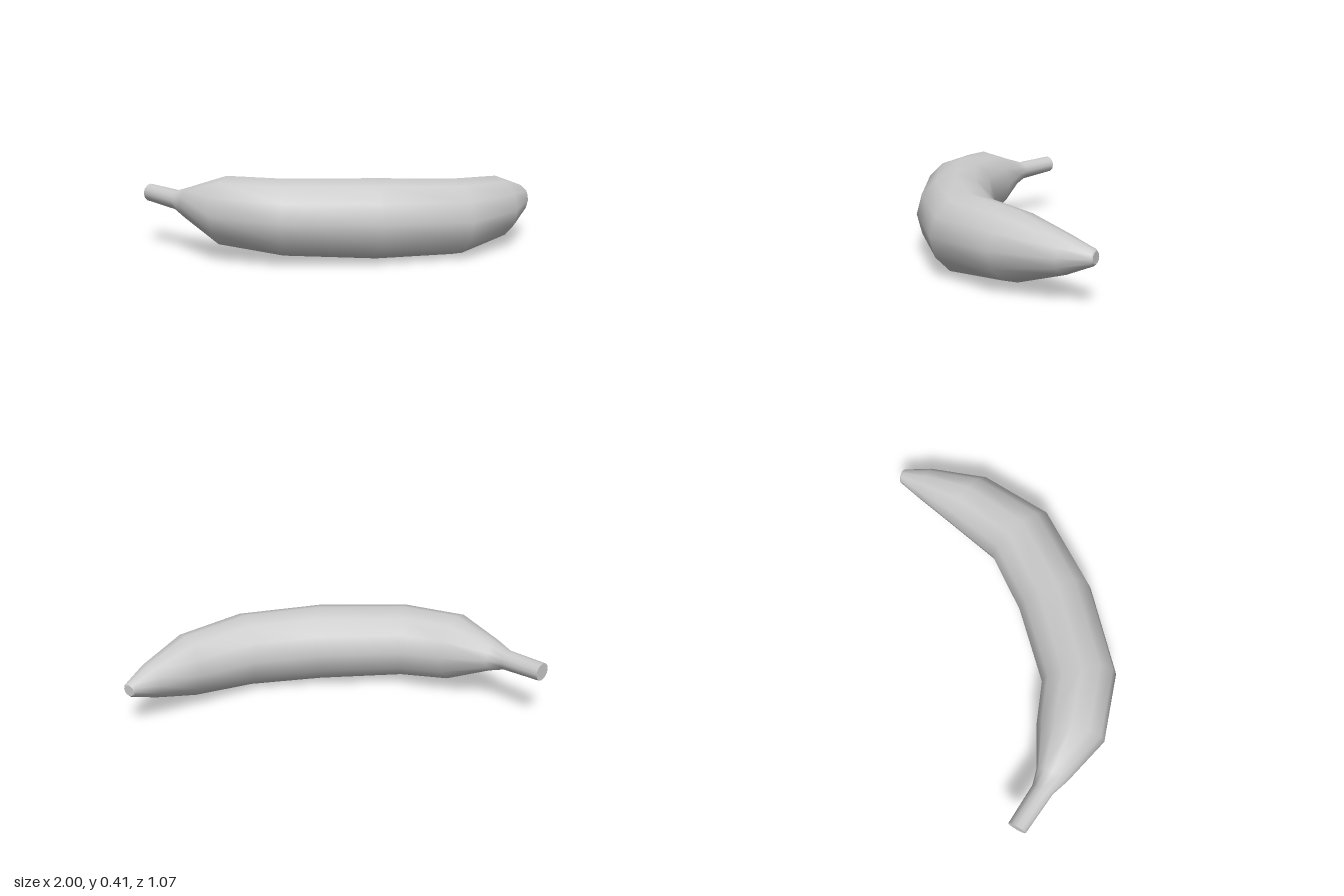
import * as THREE from 'three';

const SIDES = 12;

// Cross-sections from stem to tip: inner x, z, outer x, z, bottom y, top y
const SECTIONS = [
  [-0.95, -0.05, -1.0, 0.03, 0.225, 0.315],
  [-0.77, 0.075, -0.82, 0.17, 0.205, 0.305],
  [-0.69, 0.1, -0.76, 0.245, 0.17, 0.33],
  [-0.46, 0.115, -0.57, 0.44, 0.06, 0.405],
  [-0.24, 0.155, -0.22, 0.53, 0.03, 0.405],
  [0.16, 0.065, 0.26, 0.44, 0.005, 0.4],
  [0.475, -0.06, 0.68, 0.255, 0.0, 0.38],
  [0.69, -0.285, 0.91, -0.06, 0.038, 0.358],
  [0.835, -0.44, 0.99, -0.36, 0.115, 0.29],
  [0.925, -0.535, 0.998, -0.51, 0.172, 0.245],
  [0.935, -0.54, 0.993, -0.52, 0.18, 0.237],
];

// Elliptical ring of points spanning one cross-section
function ring([ix, iz, ox, oz, y0, y1]) {
  const points = [];
  for (let j = 0; j < SIDES; j++) {
    const a = (j / SIDES) * Math.PI * 2;
    const c = Math.cos(a) / 2;
    points.push(new THREE.Vector3(
      (ix + ox) / 2 + (ox - ix) * c,
      (y0 + y1) / 2 + ((y1 - y0) / 2) * Math.sin(a),
      (iz + oz) / 2 + (oz - iz) * c,
    ));
  }
  return points;
}

function makeMesh(name, points, index, material) {
  const geometry = new THREE.BufferGeometry().setFromPoints(points);
  geometry.setIndex(index);
  geometry.computeVertexNormals();
  const mesh = new THREE.Mesh(geometry, material);
  mesh.name = name;
  return mesh;
}

// Flat disc closing one end of the loft
function makeCap(name, points, atTip, material) {
  const centre = new THREE.Vector3();
  points.forEach((p) => centre.addScaledVector(p, 1 / SIDES));
  const index = [];
  for (let j = 0; j < SIDES; j++) {
    const k = (j + 1) % SIDES;
    index.push(SIDES, ...(atTip ? [k, j] : [j, k]));
  }
  return makeMesh(name, [...points, centre], index, material);
}

export function createModel() {
  const group = new THREE.Group();
  group.name = 'banana';
  const material = new THREE.MeshStandardMaterial({ color: 0xcccccc });
  const rings = SECTIONS.map(ring);

  // Smooth curved skin, stem included
  const index = [];
  for (let i = 0; i < rings.length - 1; i++) {
    for (let j = 0; j < SIDES; j++) {
      const k = (j + 1) % SIDES;
      const a = i * SIDES, b = a + SIDES;
      index.push(a + j, b + j, a + k, b + j, b + k, a + k);
    }
  }
  group.add(makeMesh('peel', rings.flat(), index, material));

  // Cut ends
  group.add(makeCap('stemEnd', rings[0], false, material));
  group.add(makeCap('tipEnd', rings[rings.length - 1], true, material));
  return group;
}
